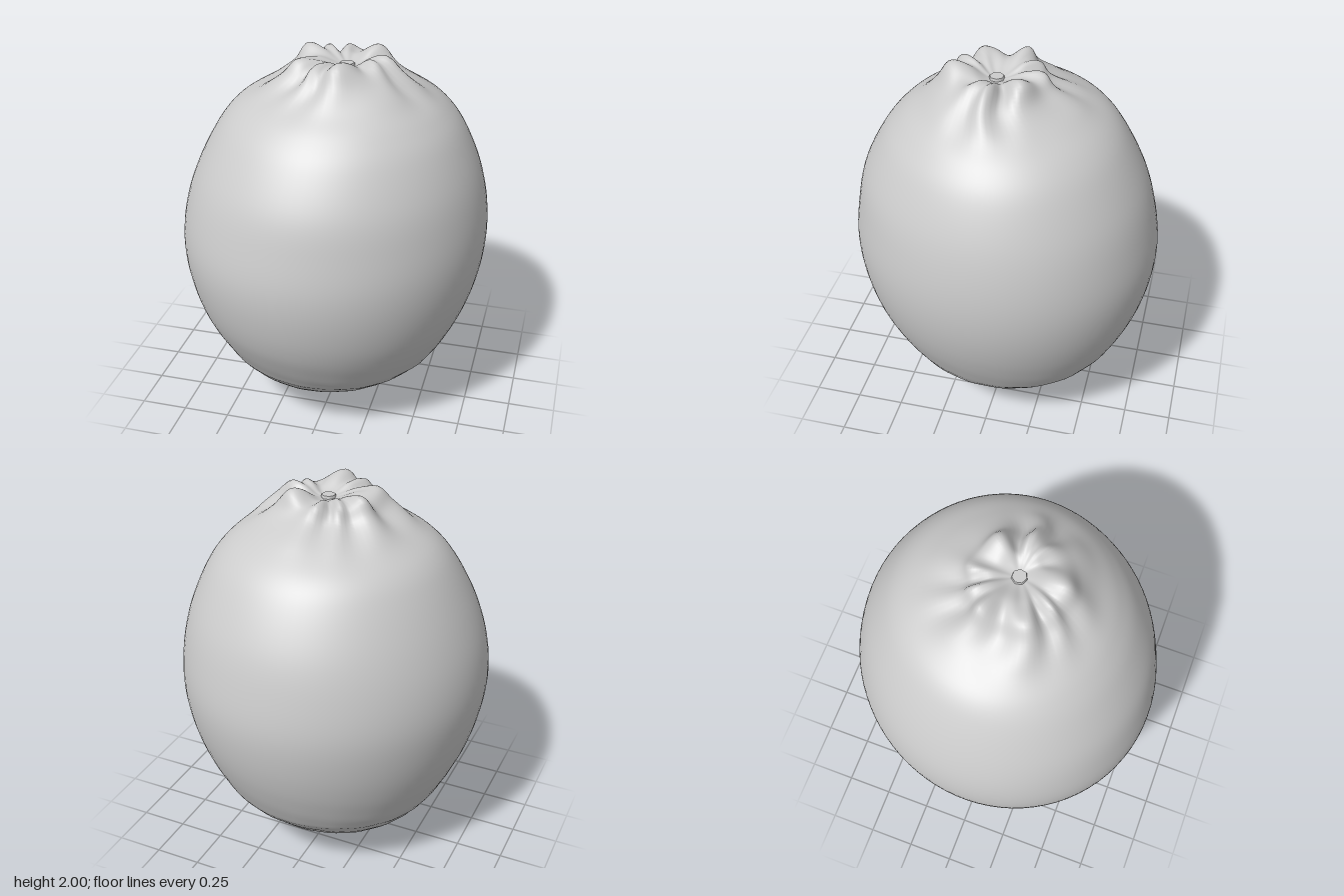
import * as THREE from 'three';
import { mergeVertices } from 'three/addons/utils/BufferGeometryUtils.js';
import { ParametricGeometry } from 'three/addons/geometries/ParametricGeometry.js';

// Cross-sections from tip to crown: height, x left/right edges, z back/front edges
const SECTIONS = [
  [0.0, 0.05, 0.05, 0.0, 0.0],
  [0.015, 0.005, 0.1, -0.03, 0.03],
  [0.05, -0.05, 0.135, -0.06, 0.06],
  [0.09, -0.18, 0.18, -0.14, 0.14],
  [0.13, -0.33, 0.26, -0.28, 0.26],
  [0.2, -0.47, 0.4, -0.45, 0.42],
  [0.3, -0.565, 0.53, -0.565, 0.54],
  [0.4, -0.63, 0.61, -0.645, 0.62],
  [0.6, -0.72, 0.705, -0.735, 0.73],
  [0.8, -0.775, 0.765, -0.79, 0.79],
  [1.0, -0.797, 0.79, -0.81, 0.81],
  [1.2, -0.775, 0.78, -0.785, 0.785],
  [1.4, -0.71, 0.735, -0.73, 0.735],
  [1.6, -0.61, 0.65, -0.63, 0.63],
  [1.72, -0.515, 0.56, -0.535, 0.53],
  [1.81, -0.375, 0.45, -0.4, 0.42],
  [1.89, -0.25, 0.34, -0.25, 0.33],
  [1.96, -0.18, 0.25, -0.19, 0.26],
  [1.965, -0.09, 0.18, -0.11, 0.17],
  [1.935, 0.0, 0.12, -0.03, 0.09],
  [1.92, 0.06, 0.06, 0.035, 0.035],
];

const curveOf = (i, j) => new THREE.CatmullRomCurve3(
  SECTIONS.map((s) => new THREE.Vector3(s[i], s[0], s[j])), false, 'catmullrom', 0.5);

const bell = (x, centre, width) => Math.exp(-(((x - centre) / width) ** 2));

function createPeel() {
  const widths = curveOf(1, 2), depths = curveOf(3, 4);
  const w = new THREE.Vector3(), d = new THREE.Vector3();
  const geometry = new ParametricGeometry((u, v, target) => {
    const a = u * Math.PI * 2;
    widths.getPoint(v, w);
    depths.getPoint(v, d);
    const row = v * (SECTIONS.length - 1);

    // Puckered lumps around the crown, fading into folds on the shoulder
    const fold = 0.5 * Math.sin(5 * a + 1.4 * Math.sin(2 * a) + 0.5 * row)
      + 0.5 * Math.sin(9 * a + 1.5 * Math.sin(3 * a) - 0.7 * row);
    const crown = bell(row, 17.2, 1.1);
    const flank = bell(row, 15.7, 0.8);
    // Small dimples around the tip
    const dimple = bell(row, 5.5, 1.5) * Math.sin(13 * a + row * 4) * Math.sin(8 * a - row * 5);
    // The body is slightly wider along one diagonal
    const diagonal = 0.004 + 0.028 * Math.sin(2 * a);
    const scale = 1 + crown * 0.09 * fold + flank * 0.03 * fold + dimple * 0.008
      + diagonal * bell(row, 10, 5);

    target.set(
      (w.x + w.z) / 2 + Math.cos(a) * (w.z - w.x) / 2 * scale,
      Math.max(0, w.y + crown * 0.036 * fold + flank * 0.01 * fold),
      (d.x + d.z) / 2 - Math.sin(a) * (d.z - d.x) / 2 * scale);
  }, 84, 120);
  // Weld the seam and poles so the skin shades smoothly
  geometry.deleteAttribute('uv');
  geometry.deleteAttribute('normal');
  const welded = mergeVertices(geometry, 1e-4);
  welded.computeVertexNormals();
  return welded;
}

export function createModel() {
  const skin = new THREE.MeshStandardMaterial({ color: 0xcccccc });
  skin.name = 'skin grey';
  const model = new THREE.Group();
  model.name = 'citrusFruit';

  const peel = new THREE.Mesh(createPeel(), skin);
  peel.name = 'peel';

  // Small stem button sunk in the crown hollow
  const stem = new THREE.Mesh(new THREE.CylinderGeometry(0.036, 0.045, 0.04, 7), skin);
  stem.name = 'stemButton';
  stem.position.set(0.06, 1.922, 0.035);

  model.add(peel, stem);
  return model;
}
